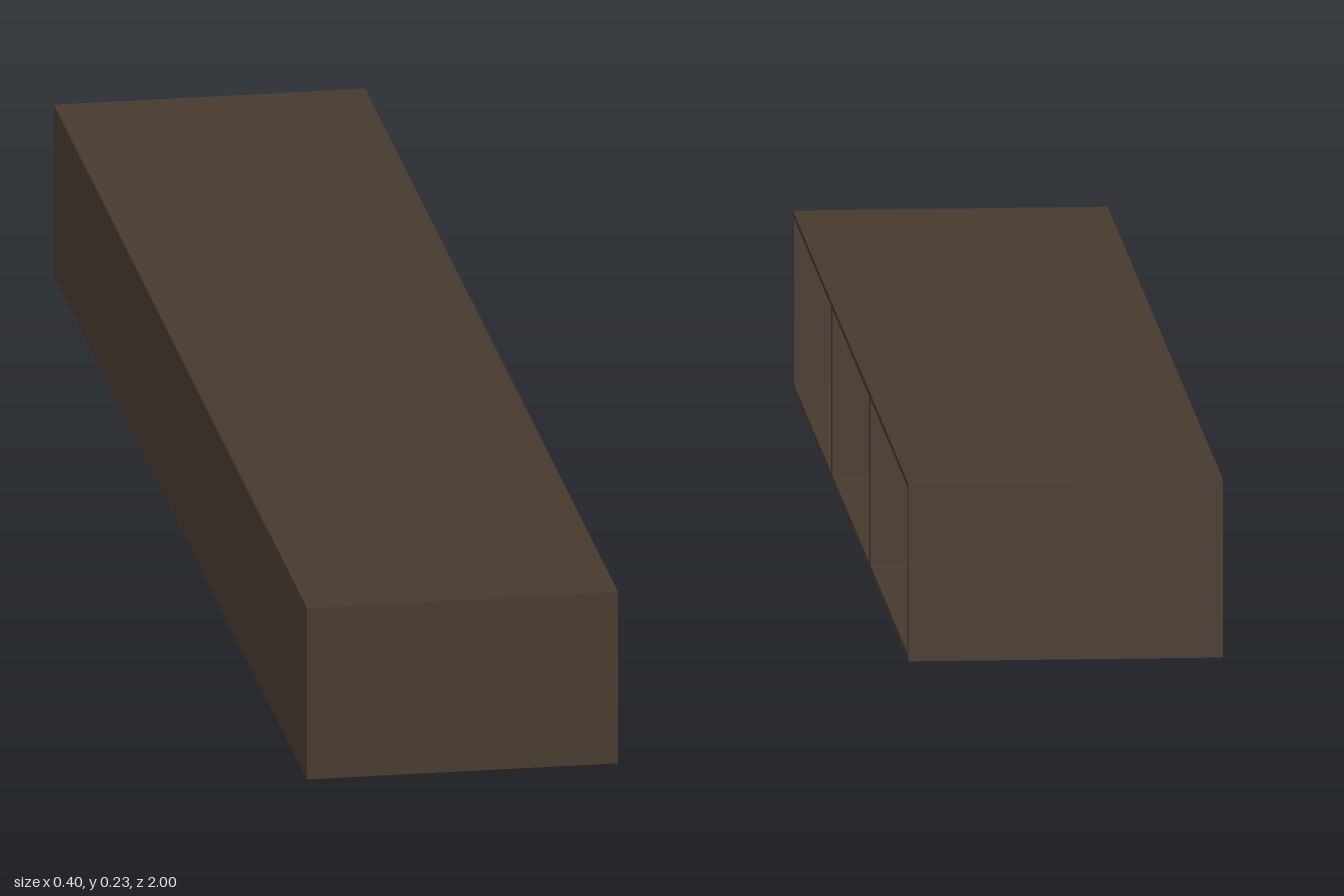
import * as THREE from 'three';

export function createModel() {
  const group = new THREE.Group();
  const wood = new THREE.MeshStandardMaterial({ color: 0x483b2f });

  const depth = 0.396, height = 0.227, length = 2;
  const board = 0.02;   // end walls and dividers
  const sheet = 0.008;  // top, bottom and back
  const innerHeight = height - 2 * sheet;

  function panel(name, w, h, d, x, y, z) {
    const mesh = new THREE.Mesh(new THREE.BoxGeometry(w, h, d), wood);
    mesh.name = name;
    mesh.position.set(x, y, z);
    group.add(mesh);
  }

  // Long horizontal panels
  panel('bottomPanel', depth, sheet, length, 0, sheet / 2, 0);
  panel('topPanel', depth, sheet, length, 0, height - sheet / 2, 0);

  // Closed long side on -x; the shelf opens towards +x
  panel('backPanel', sheet, innerHeight, length - 2 * board, (sheet - depth) / 2, height / 2, 0);

  // End walls and the two dividers between the three compartments
  for (const side of [-1, 1]) {
    const end = side > 0 ? 'front' : 'rear';
    panel(end + 'EndWall', depth, innerHeight, board, 0, height / 2, side * (length - board) / 2);
    panel(end + 'Divider', depth - sheet, innerHeight, board, sheet / 2, height / 2, side * 0.33);
  }

  return group;
}
